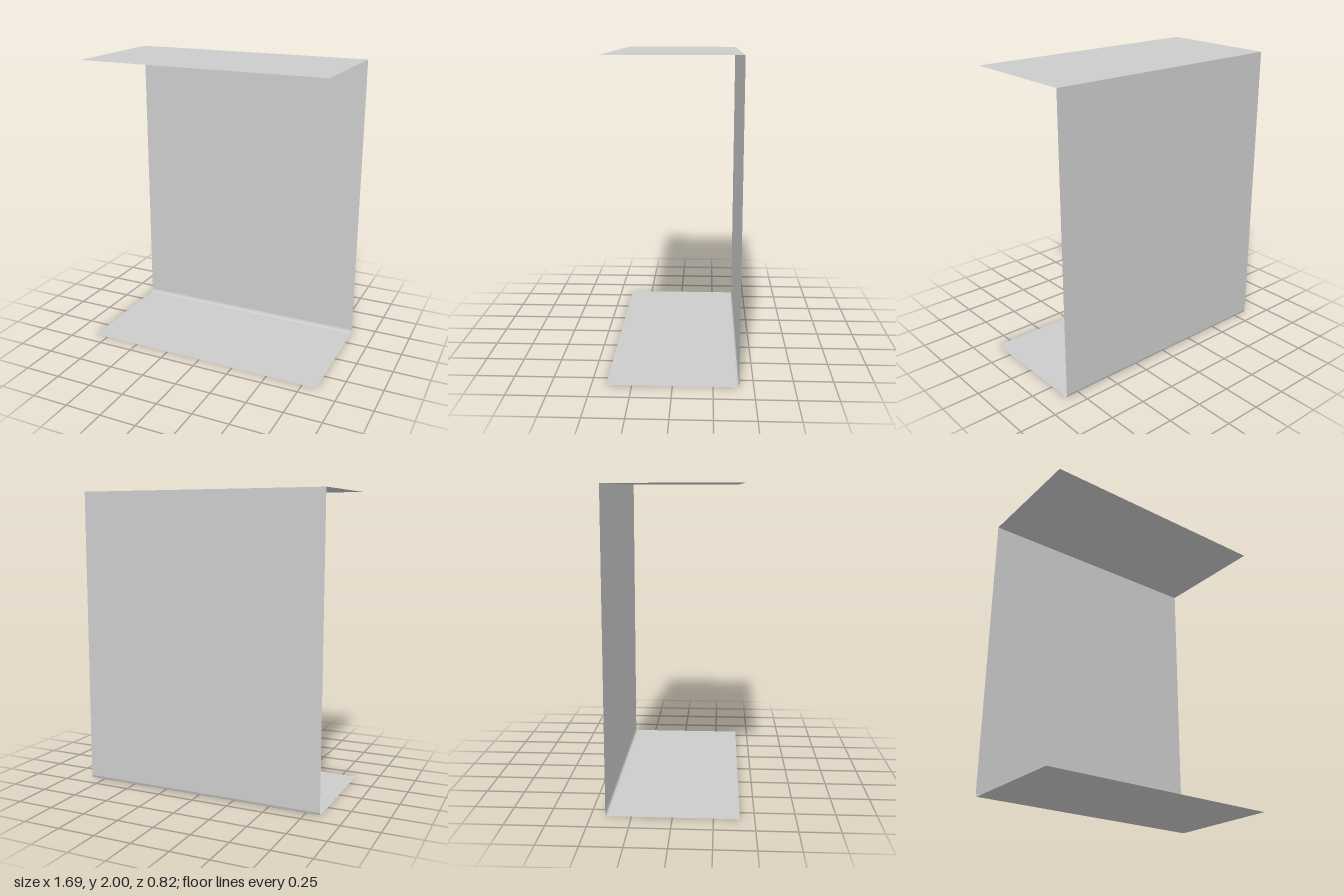
import * as THREE from 'three';

const HALF_WIDTH = 0.845;

export function createModel() {
  const group = new THREE.Group();
  group.name = 'foldedSheet';
  const material = new THREE.MeshStandardMaterial({
    color: 0xcccccc, flatShading: true, side: THREE.DoubleSide,
  });

  // Sheet spanning the full width, following (z, y) points of its side profile
  function sheet(name, points) {
    const geometry = new THREE.PlaneGeometry(2 * HALF_WIDTH, 1, 1, points.length - 1);
    const pos = geometry.attributes.position;
    for (let i = 0; i < pos.count; i++) {
      const [z, y] = points[Math.floor(i / 2)];
      pos.setXYZ(i, pos.getX(i), y, z);
    }
    geometry.computeVertexNormals();
    const mesh = new THREE.Mesh(geometry, material);
    mesh.name = name;
    group.add(mesh);
  }

  // Side profile: top flap, upright back, small bend, bottom flap
  sheet('topPanel', [[-0.41, 2], [0.41, 2]]);
  sheet('backPanel', [[-0.41, 2], [-0.41, 0.02]]);
  sheet('bottomBend', [[-0.41, 0.02], [-0.405, 0.005], [-0.395, 0]]);
  sheet('bottomPanel', [[-0.395, 0], [0.41, 0]]);

  return group;
}
